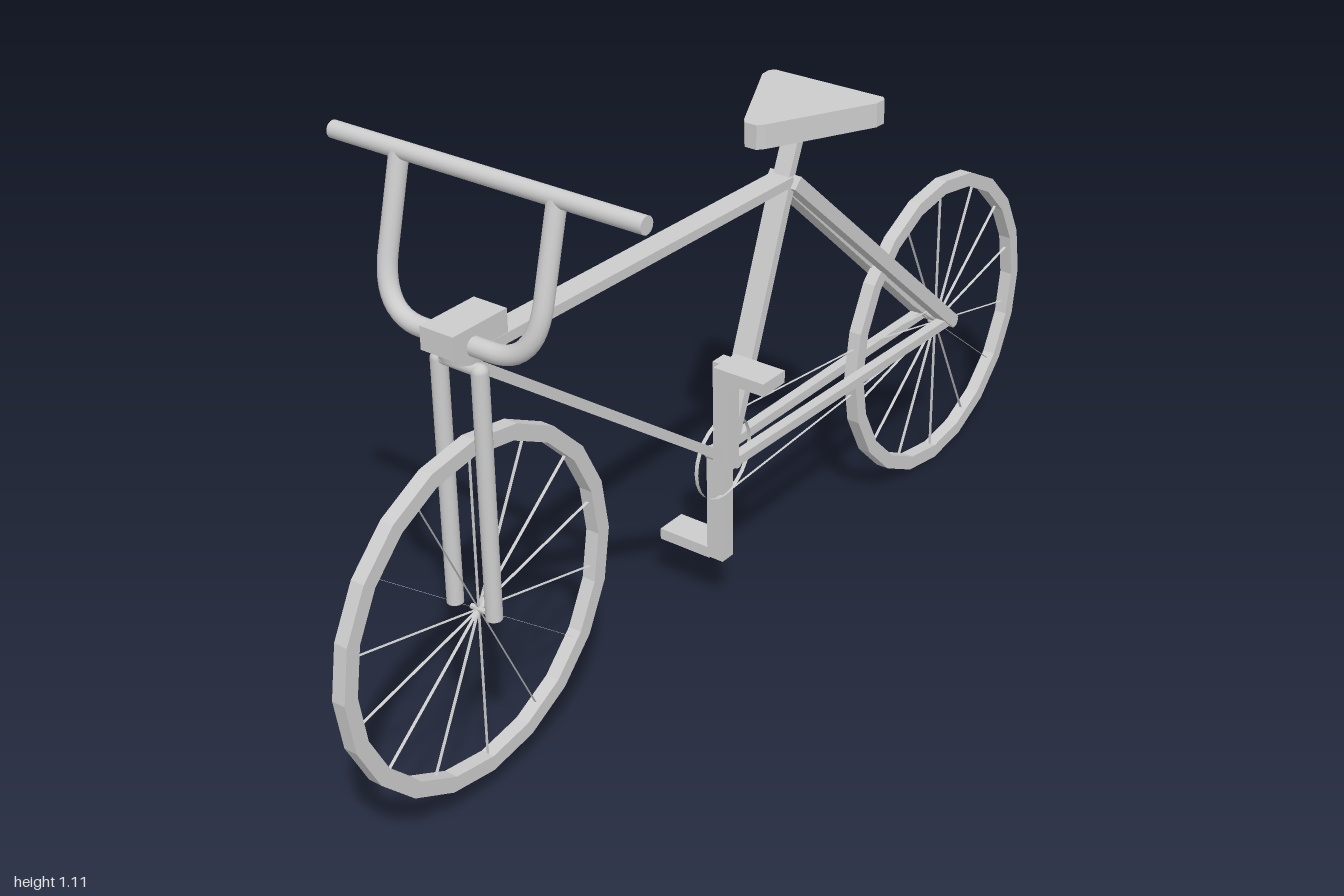
import * as THREE from 'three';

const CX = -0.012; // centre plane of the frame and wheels
const material = new THREE.MeshStandardMaterial({ color: 0xcccccc });
const flat = new THREE.MeshStandardMaterial({ color: 0xcccccc, flatShading: true });
const thin = new THREE.MeshStandardMaterial({ color: 0xcccccc, side: THREE.DoubleSide });
const V = (x, y, z) => new THREE.Vector3(x, y, z);

function add(parent, name, geometry, mat = material) {
  const mesh = new THREE.Mesh(geometry, mat);
  mesh.name = name;
  parent.add(mesh);
  return mesh;
}

// Align a geometry built along y so that it runs from a to b
function span(geometry, a, b) {
  const dir = b.clone().sub(a).normalize();
  geometry.applyQuaternion(new THREE.Quaternion().setFromUnitVectors(V(0, 1, 0), dir));
  const mid = a.clone().add(b).multiplyScalar(0.5);
  return geometry.translate(mid.x, mid.y, mid.z);
}
const rod = (a, b, r, sides = 16) => span(new THREE.CylinderGeometry(r, r, a.distanceTo(b), sides), a, b);
const beam = (a, b, w, d) => span(new THREE.BoxGeometry(w, a.distanceTo(b), d), a, b);
const ribbon = (a, b, w) => span(new THREE.PlaneGeometry(w, a.distanceTo(b)), a, b);
const box = (x0, x1, y0, y1, z0, z1) => new THREE.BoxGeometry(x1 - x0, y1 - y0, z1 - z0)
  .translate((x0 + x1) / 2, (y0 + y1) / 2, (z0 + z1) / 2);

// Wheel: faceted square-section rim, ribbon spokes, small hub
function wheel(name, y, z) {
  const g = new THREE.Group();
  g.name = name;
  const [ri, ro, h] = [0.284, 0.312, 0.013];
  const section = [[ri, -h], [ro, -h], [ro, h], [ri, h], [ri, -h]].map(p => new THREE.Vector2(...p));
  add(g, 'rim', new THREE.LatheGeometry(section, 20).rotateZ(Math.PI / 2), flat);
  const count = 14;
  for (let i = 0; i < count; i++) {
    const a = (i / count) * Math.PI * 2;
    add(g, 'spoke', ribbon(V(0, 0, 0), V(0, Math.cos(a) * ri, Math.sin(a) * ri), 0.006), thin);
  }
  add(g, 'hub', rod(V(-0.015, 0, 0), V(0.015, 0, 0), 0.005, 8));
  g.position.set(CX, y, z);
  return g;
}

// Pedal: closed top plate over a hollow frame
function pedal(x0, x1, y0, y1, z0, z1) {
  const g = new THREE.Group();
  g.name = 'pedal';
  const t = 0.008;
  add(g, 'pedalTop', box(x0, x1, y1 - t, y1, z0, z1));
  add(g, 'pedalSide', box(x0, x1, y0, y1 - t, z0, z0 + t));
  add(g, 'pedalSide', box(x0, x1, y0, y1 - t, z1 - t, z1));
  add(g, 'pedalEnd', box(x0, x0 + t, y0, y1 - t, z0 + t, z1 - t));
  add(g, 'pedalEnd', box(x1 - t, x1, y0, y1 - t, z0 + t, z1 - t));
  return g;
}

export function createModel() {
  const model = new THREE.Group();
  model.name = 'bicycle';
  model.add(wheel('frontWheel', 0.367, 0.688), wheel('rearWheel', 0.312, -0.688));

  // Main frame of flat tubes
  const frame = new THREE.Group();
  frame.name = 'frame';
  model.add(frame);
  const head = V(CX, 0.825, 0.7), seat = V(CX, 0.815, -0.145), crank = V(CX, 0.337, 0.035);
  add(frame, 'topTube', beam(head, seat, 0.044, 0.018));
  add(frame, 'downTube', beam(V(CX, 0.82, 0.7), crank, 0.044, 0.018));
  add(frame, 'seatTube', beam(crank, seat, 0.042, 0.018));
  add(frame, 'seatPost', beam(seat, V(CX, 0.915, -0.187), 0.034, 0.018));
  add(frame, 'saddleClamp', rod(V(CX, 0.893, -0.18), V(CX, 0.91, -0.186), 0.02));
  add(frame, 'bottomBracket', rod(V(-0.045, 0.337, 0.035), V(0.022, 0.337, 0.035), 0.012));
  add(frame, 'rearAxle', rod(V(CX - 0.045, 0.325, -0.69), V(CX + 0.045, 0.325, -0.69), 0.012, 12));
  for (const s of [-1, 1]) {
    add(frame, 'seatStay', beam(V(CX + s * 0.018, 0.815, -0.145), V(CX + s * 0.03, 0.322, -0.695), 0.03, 0.026));
    add(frame, 'chainStay', beam(V(CX + s * 0.022, 0.337, 0.035), V(CX + s * 0.03, 0.327, -0.69), 0.02, 0.018));
  }

  // Fork legs with crown
  const fork = new THREE.Group();
  fork.name = 'fork';
  model.add(fork);
  for (const s of [-1, 1]) {
    add(fork, 'forkLeg', rod(V(CX + s * 0.041, 0.37, 0.697), V(CX + s * 0.041, 0.808, 0.697), 0.014));
    add(fork, 'forkShoulder', new THREE.SphereGeometry(0.014, 16, 10).translate(CX + s * 0.041, 0.808, 0.697));
  }
  add(fork, 'forkCrown', rod(V(CX - 0.041, 0.811, 0.697), V(CX + 0.041, 0.811, 0.697), 0.011));
  add(fork, 'headCollar', new THREE.CylinderGeometry(0.04, 0.036, 0.022, 20).translate(CX, 0.831, 0.688));

  // Stem clamp, tilted carrier tube and crossbar
  const bars = new THREE.Group();
  bars.name = 'handlebar';
  model.add(bars);
  add(bars, 'stem', box(CX - 0.033, CX + 0.033, 0.842, 0.882, 0.622, 0.742));
  const tilt = (x, y) => V(CX - 0.001 + x, y, 0.698 - (y - 0.85) * 0.255);
  const path = new THREE.CurvePath();
  path.add(new THREE.LineCurve3(tilt(-0.153, 1.095), tilt(-0.153, 0.945)));
  path.add(new THREE.CubicBezierCurve3(tilt(-0.153, 0.945), tilt(-0.153, 0.89), tilt(-0.13, 0.85), tilt(-0.07, 0.85)));
  path.add(new THREE.LineCurve3(tilt(-0.07, 0.85), tilt(0.07, 0.85)));
  path.add(new THREE.CubicBezierCurve3(tilt(0.07, 0.85), tilt(0.13, 0.85), tilt(0.153, 0.89), tilt(0.153, 0.945)));
  path.add(new THREE.LineCurve3(tilt(0.153, 0.945), tilt(0.153, 1.095)));
  add(bars, 'carrierTube', new THREE.TubeGeometry(path, 64, 0.016, 14));
  add(bars, 'gripBar', rod(V(-0.302, 1.097, 0.636), V(0.302, 1.097, 0.636), 0.0145, 20));

  // Triangular saddle with clipped corners, nose to the front
  const half = [[0.115, 0.281], [0.123, 0.272], [0.122, 0.25], [0.022, 0.056], [0.012, 0.044]];
  const outline = [...half, ...half.map(([x, y]) => [-x, y]).reverse()].reverse();
  const saddle = new THREE.ExtrudeGeometry(new THREE.Shape(outline.map(p => new THREE.Vector2(...p))),
    { depth: 0.045, bevelEnabled: false });
  add(model, 'saddle', saddle.rotateX(-Math.PI / 2).translate(CX + 0.002, 0.907, 0), flat);

  // Cranks and pedals
  const drive = new THREE.Group();
  drive.name = 'drivetrain';
  model.add(drive);
  add(drive, 'leftCrank', box(CX, 0.022, 0.33, 0.543, 0.033, 0.065));
  add(drive, 'rightCrank', box(-0.047, CX, 0.115, 0.345, 0.006, 0.038));
  drive.add(pedal(0.004, 0.11, 0.52, 0.544, 0.02, 0.084));
  drive.add(pedal(-0.157, -0.044, 0.111, 0.133, -0.028, 0.036));

  // Chainring and chain as thin bands
  const band = new THREE.CylinderGeometry(0.08, 0.08, 0.008, 24, 1, true).rotateZ(Math.PI / 2);
  add(drive, 'chainring', band.translate(CX, 0.337, 0.035), thin);
  for (const s of [-1, 1]) {
    add(drive, 'chain', ribbon(V(CX, 0.337 + s * 0.08, 0.03), V(CX, 0.32 + s * 0.025, -0.69), 0.005), thin);
  }
  return model;
}
